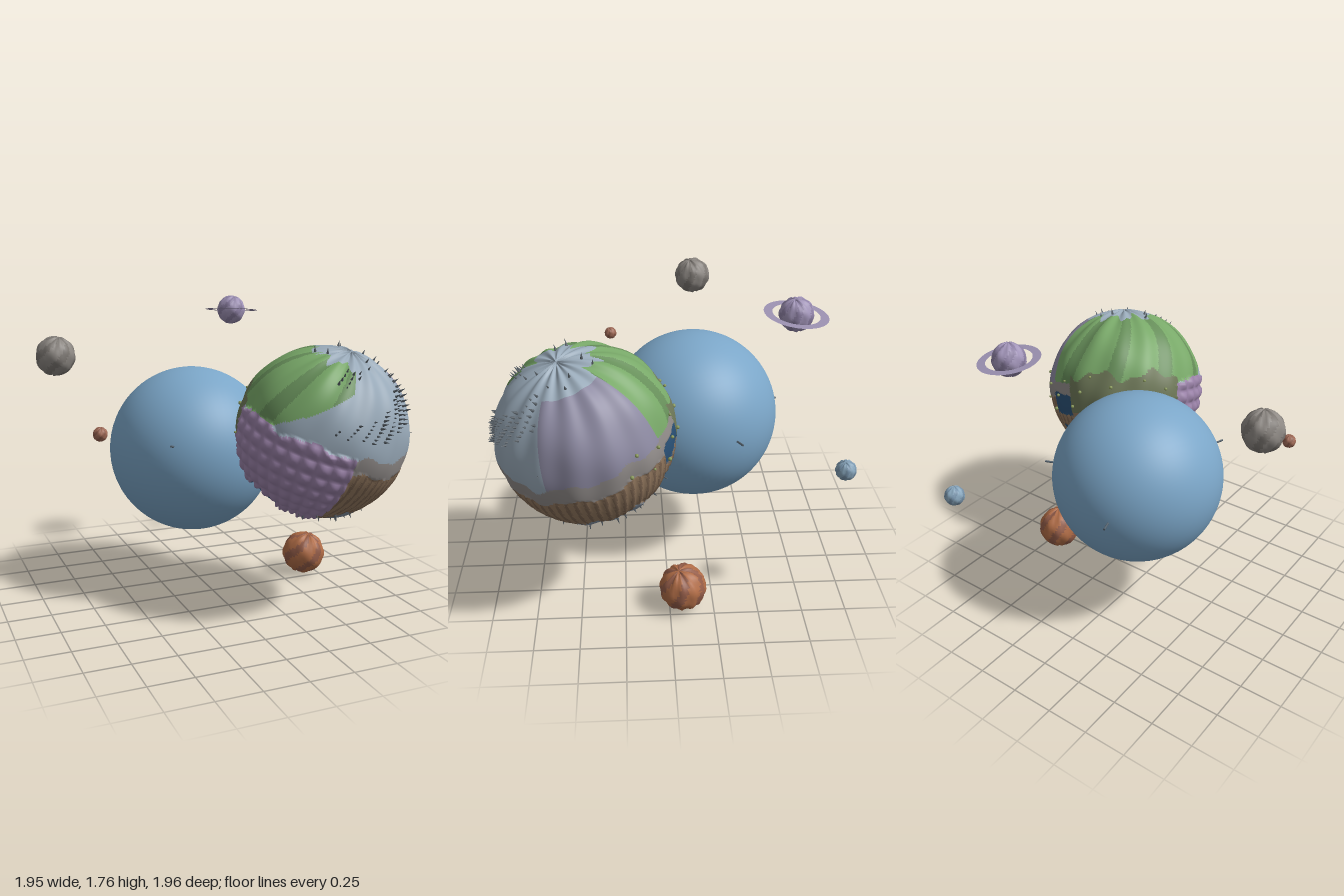
import * as THREE from 'three';
import { mergeVertices, mergeGeometries } from 'three/addons/utils/BufferGeometryUtils.js';

const UP = new THREE.Vector3(0, 1, 0);
const { sin, cos, abs, max, PI } = Math;

function mesh(name, geometry, color, side = THREE.FrontSide) {
  const m = new THREE.Mesh(geometry, new THREE.MeshStandardMaterial({ color, side }));
  m.name = name;
  return m;
}

// Sphere displaced by relief(s, lon), cut into one mesh per terrain
// s = sine of latitude, lon in degrees: 0 at +x, 90 at +z
function terrainBall(name, radius, segs, relief, terrain, colors) {
  const group = new THREE.Group();
  group.name = name;
  let geo = new THREE.SphereGeometry(1, segs[0], segs[1]);
  geo.deleteAttribute('uv');
  geo.deleteAttribute('normal');
  geo = mergeVertices(geo, 1e-5);
  const base = geo.attributes.position.clone();
  const pos = geo.attributes.position;
  const v = new THREE.Vector3();
  const lonOf = p => Math.atan2(p.z, p.x) * 180 / PI;
  for (let i = 0; i < pos.count; i++) {
    v.fromBufferAttribute(base, i);
    const r = radius * (1 + relief(v.y, lonOf(v)));
    pos.setXYZ(i, v.x * r, v.y * r, v.z * r);
  }
  geo.computeVertexNormals();
  const lists = {};
  const c = new THREE.Vector3();
  for (let i = 0; i < geo.index.count; i += 3) {
    const tri = [0, 1, 2].map(k => geo.index.getX(i + k));
    c.set(0, 0, 0);
    tri.forEach(k => c.add(v.fromBufferAttribute(base, k)));
    c.normalize();
    const key = terrain(c.y, lonOf(c));
    (lists[key] ||= []).push(...tri);
  }
  for (const key in lists) {
    const part = new THREE.BufferGeometry();
    part.setAttribute('position', pos);
    part.setAttribute('normal', geo.attributes.normal);
    part.setIndex(lists[key]);
    group.add(mesh(key, part, colors[key]));
  }
  return group;
}

const PLANET = {
  ice: 0x9aabba, mauve: 0x8d8aa2, scree: 0x918c8a, desert: 0x957a60, desertFold: 0x7c6450,
  meadow: 0x78a868, meadowShade: 0x678f5a, scrub: 0x6e7858, ocean: 0x2b5278, southIce: 0x8694a4, scales: 0x9a82a8,
};

function planetTerrain(s, lon) {
  const w = 0.03 * sin(lon * 0.16) + 0.015 * sin(lon * 0.37);
  const east = (lon + 360) % 360;                        // 0..360
  if (s < -0.9 + w) return 'ocean';
  if (east > 145 && east < 200 && s < -0.72 + w) return 'ocean';
  if (lon > -82 && lon < -58 && (s < -0.45 || (s > -0.3 && s < -0.04 + w))) return 'ocean';
  if (lon > -100 && lon < 75 && s < -0.62 + w * 2) return 'southIce';
  if (east > 97 && east < 192 && s < 0.14 + w) return 'scales';
  if (east > 190 && east < 278 && s < 0.24 + w * 2) return s > -0.25 ? 'scrub' : s > -0.6 ? 'desert' : 'southIce';
  const floor = max(0.12, 0.66 - (east - 114) * 0.012);
  if (east > 112 + w * 200 && east < 306 + w * 200 && s < 0.92 + w && s > floor)
    return sin(east * 0.16 + s * 3) > 0.55 ? 'meadowShade' : 'meadow';
  if (s > 0.12 + w) return lon > -62 && lon < 22 && s < 0.88 ? 'mauve' : 'ice';
  if (s > -0.08 + w) return 'scree';
  return sin(lon * 1.05 + s * 8) > 0.35 ? 'desertFold' : 'desert';
}

function planetRelief(s, lon) {
  const a = lon * PI / 180;
  const t = planetTerrain(s, lon);
  if (t === 'scales') return 0.008 + 0.045 * abs(sin(a * 18) * sin(Math.asin(s) * 18));
  if (t === 'ocean') return -0.006 + 0.004 * sin(a * 20);
  if (t.startsWith('desert')) return 0.006 + 0.007 * sin(a * 60 + s * 8);
  return 0.008 + 0.011 * sin(a * 15 + s * 4) + 0.005 * sin(a * 6 - s * 9);
}

// Copies of a small geometry standing on a ball at [s, lon] spots
function scatter(name, shape, radius, spots, color) {
  const parts = spots.map(([s, lon], i) => {
    const a = lon * PI / 180, c = Math.sqrt(1 - s * s);
    const d = new THREE.Vector3(c * cos(a), s, c * sin(a));
    const k = 0.75 + 0.5 * abs(sin(i * 2.3));
    return shape.clone().applyMatrix4(new THREE.Matrix4().compose(
      d.clone().multiplyScalar(radius), new THREE.Quaternion().setFromUnitVectors(UP, d), new THREE.Vector3(k, k, k)));
  });
  return mesh(name, mergeGeometries(parts), color);
}

function wrinkledMoon(name, position, radius, light, dark) {
  const moon = terrainBall(name, radius, [40, 24],
    (s, lon) => 0.035 * sin(lon * PI / 180 * 11 + s * 3) + 0.015 * sin(lon * PI / 180 * 5 - s * 7) - 0.01,
    (s, lon) => sin(lon * PI / 180 * 5 + s * 4) > 0.35 ? 'darkBand' : 'lightBand',
    { lightBand: light, darkBand: dark });
  moon.position.set(...position);
  moon.rotation.set(0.2, 0, -0.15);
  return moon;
}

export function createModel() {
  const model = new THREE.Group();
  model.name = 'planetCluster';

  // Smooth water world with its pole turned to the front
  const water = new THREE.Group();
  water.name = 'waterWorld';
  water.position.set(-0.065, 0.874, -0.177);
  const ball = mesh('waterBall', new THREE.SphereGeometry(0.497, 64, 48), 0x7ba6c8);
  ball.rotation.x = 1.9;
  water.add(ball);
  for (const d of [[-0.28, 0.12, 0.43], [0.475, 0.04, -0.23], [-0.155, 0, -0.5]]) {
    const dir = new THREE.Vector3(...d).normalize();
    const peg = mesh('peg', new THREE.CylinderGeometry(0.006, 0.006, 0.07, 8), 0x566470);
    peg.position.copy(dir).multiplyScalar(0.52);
    peg.quaternion.setFromUnitVectors(UP, dir);
    water.add(peg);
  }
  model.add(water);

  // Tilted rough planet with several terrains
  const planet = terrainBall('roughPlanet', 0.48, [240, 140], planetRelief, planetTerrain, PLANET);
  planet.position.set(0.485, 1.05, 0.44);
  planet.quaternion.setFromUnitVectors(UP, new THREE.Vector3(0.2, 0.945, 0.256).normalize());

  // Ice spikes around the north pole and the southern rim
  const spikes = [];
  for (let i = 0; i < 85; i++) {
    const s = 0.3 + 0.68 * ((i * 0.618) % 1);
    spikes.push([s, s > 0.9 ? i * 47 : 25 + (i * 37.7) % 100]);
  }
  for (let i = 0; i < 24; i++) spikes.push([-0.68 - 0.2 * ((i * 0.618) % 1), -70 + i * 8.5]);
  const spike = new THREE.ConeGeometry(0.007, 0.032, 6).translate(0, 0.014, 0);
  planet.add(scatter('spikes', spike, 0.482, spikes, 0x596168));

  // Round shrubs on the back
  const shrubs = [];
  for (let i = 0; i < 18; i++) shrubs.push([-0.25 + 0.5 * ((i * 0.618) % 1), -165 + i * 8]);
  planet.add(scatter('shrubs', new THREE.SphereGeometry(0.009, 8, 6), 0.492, shrubs, 0x8a9a5c));
  model.add(planet);

  // Small moons
  model.add(wrinkledMoon('greyMoon', [-0.87, 1.465, -0.225], 0.11, 0x8c8782, 0x7c7772));
  model.add(wrinkledMoon('rustMoon', [-0.765, 1.11, 0.32], 0.038, 0xa26c58, 0x8e5c4a));
  model.add(wrinkledMoon('orangeMoon', [0.67, 0.138, -0.075], 0.131, 0xb06c46, 0x935c48));
  model.add(wrinkledMoon('paleBlueMoon', [0.65, 0.875, -0.943], 0.056, 0x86a4ba, 0x7692aa));
  model.add(wrinkledMoon('ringedMoon', [0.405, 1.672, -0.665], 0.09, 0xa194b8, 0x8d80a4));

  // Flat ring
  const ring = mesh('ring', new THREE.RingGeometry(0.125, 0.17, 64), 0x9a90b0, THREE.DoubleSide);
  ring.position.set(0.405, 1.672, -0.665);
  ring.quaternion.setFromUnitVectors(new THREE.Vector3(0, 0, 1), new THREE.Vector3(0.07, 1, -0.1).normalize());
  model.add(ring);
  return model;
}
